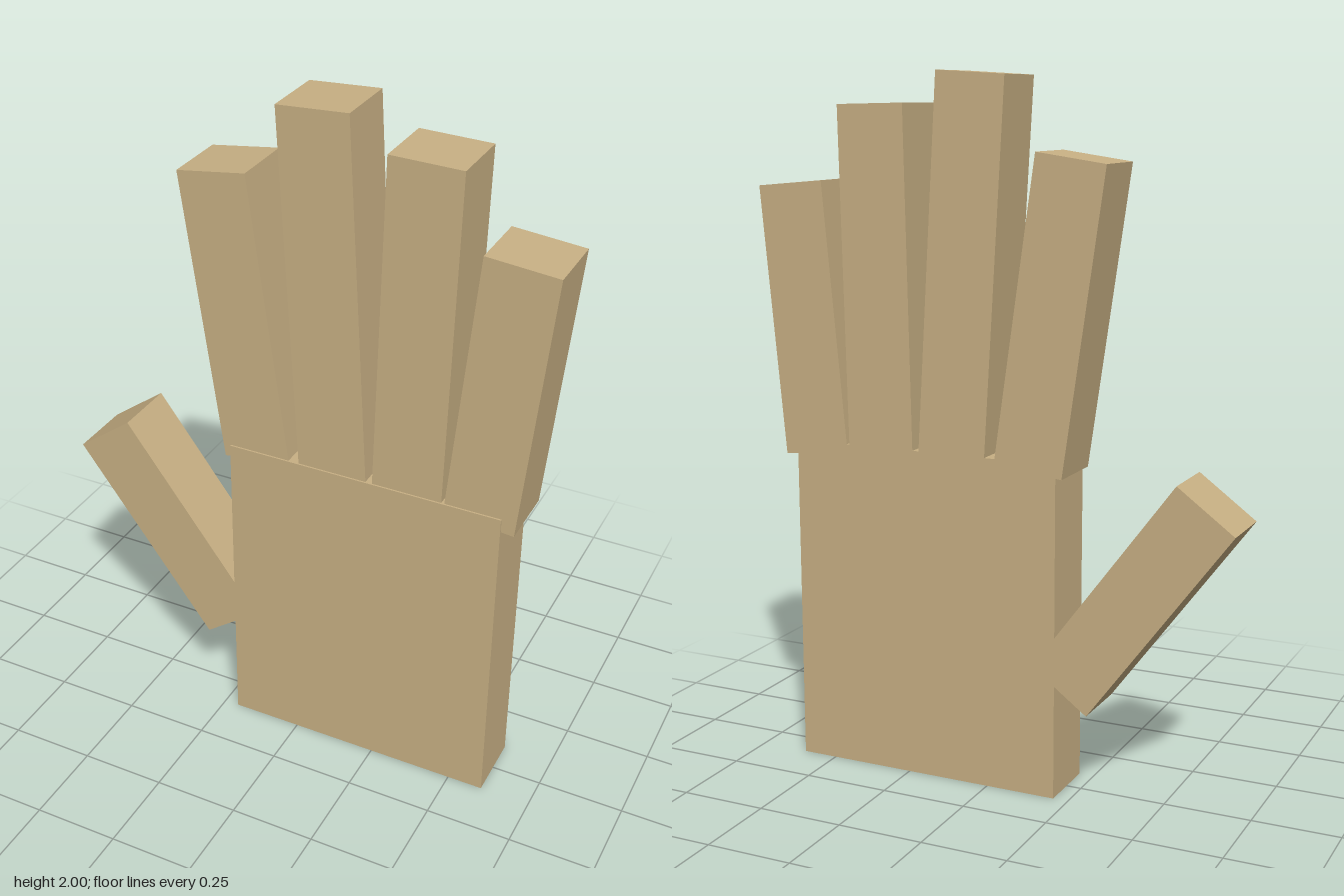
import * as THREE from 'three';

const material = new THREE.MeshStandardMaterial({ color: 0xc8b084, flatShading: true });
const BACK = -0.097;

// Box sitting flush with the back of the hand
function block(name, width, height, depth) {
  const geometry = new THREE.BoxGeometry(width, height, depth);
  geometry.translate(0, 0, BACK + depth / 2);
  const mesh = new THREE.Mesh(geometry, material);
  mesh.name = name;
  return mesh;
}

// Finger placed by the middle of its tip, its length and its lean in degrees
function finger(name, tipX, tipY, length, lean) {
  const mesh = block(name, 0.203, length, 0.189);
  const a = THREE.MathUtils.degToRad(lean);
  mesh.rotation.z = a;
  mesh.position.set(tipX + Math.sin(a) * length / 2, tipY - Math.cos(a) * length / 2, 0);
  return mesh;
}

export function createModel() {
  const hand = new THREE.Group();
  hand.name = 'hand';

  // Palm, slightly thicker than the fingers at the front
  const palm = block('palm', 0.81, 0.958, 0.194);
  palm.position.set(0.199, 0.479, 0);
  hand.add(palm);

  // Fingers and thumb: name, tip x, tip y, length, lean
  const fingers = [
    ['thumb', -0.631, 0.874, 0.69, 36.5],
    ['indexFinger', -0.243, 1.774, 0.85, 8.1],
    ['middleFinger', 0.047, 1.993, 1.06, 3.4],
    ['ringFinger', 0.351, 1.911, 0.97, -1.2],
    ['littleFinger', 0.61, 1.692, 0.772, -5.2],
  ];
  for (const f of fingers) hand.add(finger(...f));

  return hand;
}
